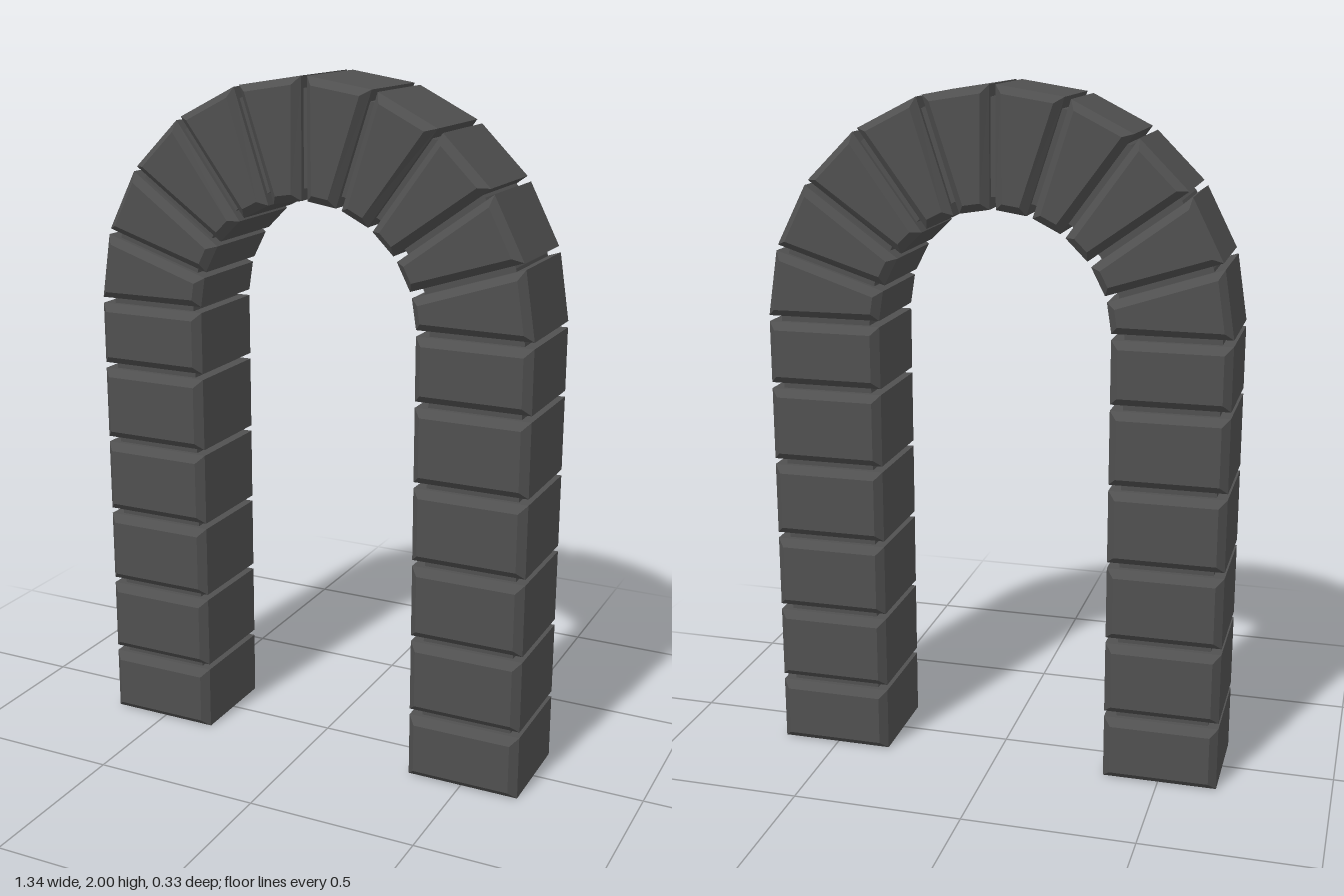
import * as THREE from 'three';

const INNER = 0.336, OUTER = 0.672, SPRING = 1.328; // arch radii and springing height
const DEPTH = 0.333, BEVEL = 0.022, GAP = 0.009;
const CORE_IN = 0.37, CORE_OUT = 0.64, CORE_DEPTH = 0.26;
const WEDGES = 10;

const material = new THREE.MeshStandardMaterial({ color: 0x505050, flatShading: true });

// Outline in x/y extruded along z, centred on z = 0, with optional chamfered faces
function prism(name, points, depth, bevel) {
  const geometry = new THREE.ExtrudeGeometry(new THREE.Shape(points), {
    depth: depth - 2 * bevel,
    bevelEnabled: bevel > 0,
    bevelSize: bevel,
    bevelOffset: -bevel,
    bevelThickness: bevel,
    bevelSegments: 1,
  });
  geometry.translate(0, 0, bevel - depth / 2);
  const mesh = new THREE.Mesh(geometry, material);
  mesh.name = name;
  return mesh;
}

const rect = (x0, x1, y0, y1) => [
  new THREE.Vector2(x0, y0), new THREE.Vector2(x1, y0),
  new THREE.Vector2(x1, y1), new THREE.Vector2(x0, y1),
];

// Point on the arch, pushed sideways from its radial line by shift
const arcPoint = (r, a, shift = 0) => new THREE.Vector2(
  r * Math.cos(a) - shift * Math.sin(a),
  SPRING + r * Math.sin(a) + shift * Math.cos(a),
);

export function createModel() {
  const model = new THREE.Group();
  model.name = 'stoneArch';

  // Two pillars of stacked blocks around a recessed mortar core
  const joints = [0, 0.2, 0.432, 0.663, 0.895, 1.128, SPRING];
  for (const side of [1, -1]) {
    const pillar = new THREE.Group();
    pillar.name = side > 0 ? 'leftPillar' : 'rightPillar';
    const span = (a, b) => (side > 0 ? [a, b] : [-b, -a]);
    for (let i = 0; i < joints.length - 1; i++) {
      const y0 = joints[i] + (i ? GAP : 0), y1 = joints[i + 1] - GAP;
      pillar.add(prism('pillarBlock', rect(...span(INNER, OUTER), y0, y1), DEPTH, BEVEL));
    }
    pillar.add(prism('pillarCore', rect(...span(CORE_IN, CORE_OUT), 0.05, SPRING), CORE_DEPTH, 0));
    model.add(pillar);
  }

  // Ring of wedge stones, with straight inner and outer edges
  const arch = new THREE.Group();
  arch.name = 'arch';
  const step = Math.PI / WEDGES;
  const outerArc = [], innerArc = [];
  for (let i = 0; i <= WEDGES; i++) {
    const a = i * step, b = a + step;
    outerArc.push(arcPoint(CORE_OUT, a));
    innerArc.unshift(arcPoint(CORE_IN, a));
    if (i === WEDGES) break;
    arch.add(prism('wedgeStone', [
      arcPoint(INNER, a, GAP), arcPoint(OUTER, a, GAP),
      arcPoint(OUTER, b, -GAP), arcPoint(INNER, b, -GAP),
    ], DEPTH, BEVEL));
  }
  arch.add(prism('archCore', [...outerArc, ...innerArc], CORE_DEPTH, 0));
  model.add(arch);

  return model;
}
